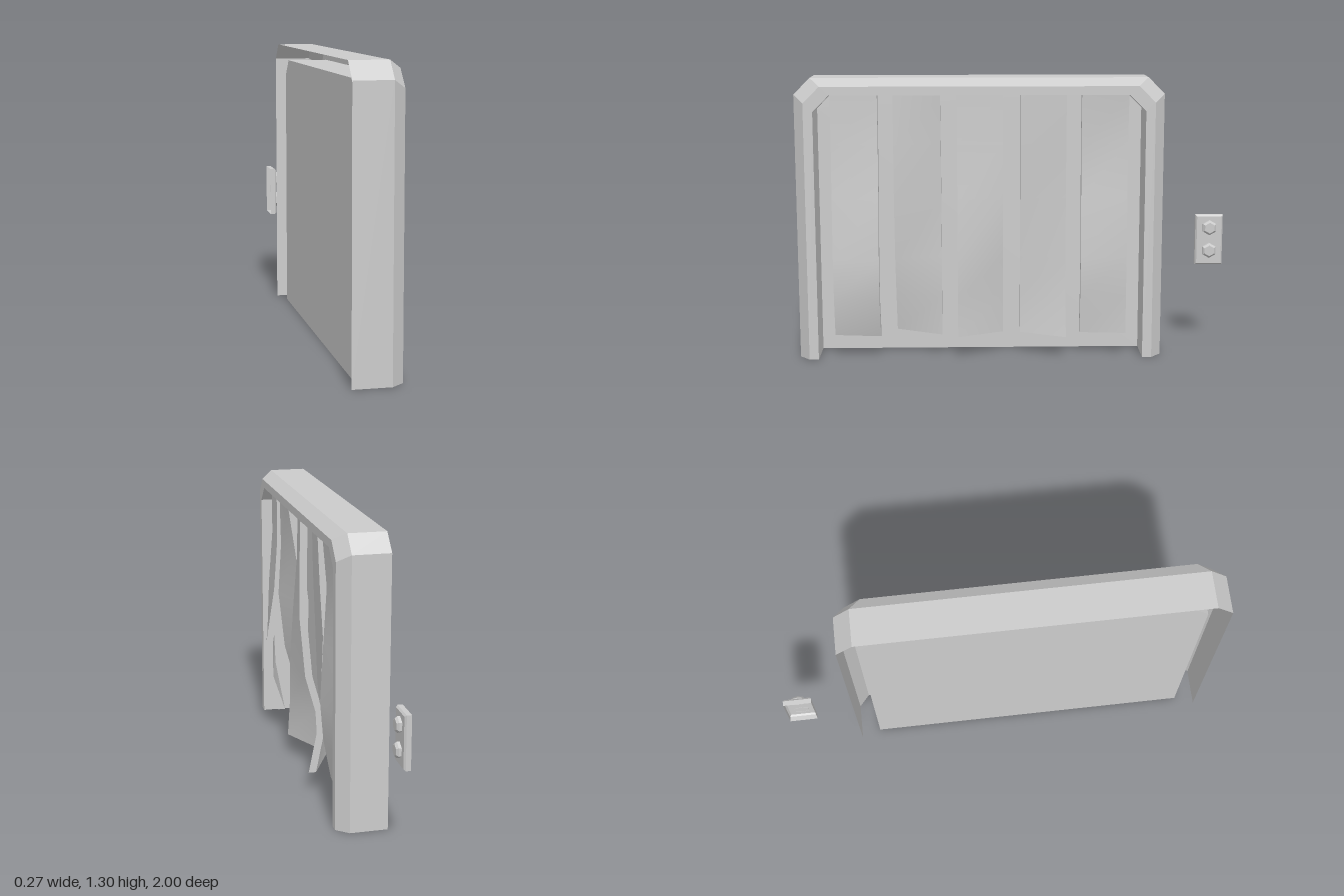
import * as THREE from 'three';

const solid = new THREE.MeshStandardMaterial({ color: 0xcccccc });
const open = new THREE.MeshStandardMaterial({ color: 0xcccccc, side: THREE.DoubleSide, flatShading: true });

// Flat-shaded skin between successive loops of [x, y, z] points
function loft(loops) {
  const pos = [];
  for (let i = 0; i < loops.length - 1; i++) {
    for (let j = 0; j < loops[i].length - 1; j++) {
      const a = loops[i][j], b = loops[i][j + 1], c = loops[i + 1][j + 1], d = loops[i + 1][j];
      pos.push(...a, ...b, ...c, ...a, ...c, ...d);
    }
  }
  const g = new THREE.BufferGeometry();
  g.setAttribute('position', new THREE.Float32BufferAttribute(pos, 3));
  g.computeVertexNormals();
  return g;
}

function add(group, name, geometry, material) {
  const mesh = new THREE.Mesh(geometry, material);
  mesh.name = name;
  group.add(mesh);
  return mesh;
}

// Door outline with cut corners, inset at the sides and the top: [z, y] pairs
function arch(side, top) {
  const mid = 0.155, half = 0.845 - side, h = 1.305 - top, cut = 0.075;
  return [
    [mid + half, 0], [mid + half, h - cut], [mid + half - cut, h],
    [mid - half + cut, h], [mid - half, h - cut], [mid - half, 0],
  ];
}
const archAt = (x, side, top) => arch(side, top).map(([z, y]) => [x, y, z]);

// Hanging strip: front-face x along its two long edges, from top to bottom
const rows = [1.23, 1.0, 0.75, 0.47, 0.29, 0.105];
function stripGeometry(zLeft, zRight, leftX, rightX) {
  const thick = 0.035;
  const g = new THREE.BoxGeometry(1, 1, 1, 1, rows.length - 1, 1);
  const p = g.attributes.position;
  for (let i = 0; i < p.count; i++) {
    const r = Math.round((0.5 - p.getY(i)) * (rows.length - 1));
    const left = p.getZ(i) > 0;
    const x = (left ? leftX : rightX)[r] - (p.getX(i) > 0 ? 0 : thick);
    p.setXYZ(i, x, rows[r], left ? zLeft : zRight);
  }
  g.computeVertexNormals();
  return g;
}

export function createModel() {
  const model = new THREE.Group();
  model.name = 'stripCurtainDoor';

  // Frame shell: outer wall, bevel, front rim, inner tunnel; open at back and bottom
  add(model, 'doorFrame', loft([
    archAt(-0.135, 0, 0),
    archAt(0.035, 0, 0),
    archAt(0.09, 0.047, 0.036),
    archAt(0.09, 0.09, 0.075),
    archAt(-0.1, 0.09, 0.075),
  ]), open);

  // Flat panel closing the tunnel
  const outline = new THREE.Shape(arch(0.09, 0.075).map(([z, y]) => new THREE.Vector2(-z, y)));
  const panel = add(model, 'backPanel', new THREE.ShapeGeometry(outline), open);
  panel.rotation.y = Math.PI / 2;
  panel.position.x = -0.1;

  // Five wavy curtain strips
  const strips = [
    [0.835, 0.62, [0.05, 0.05, 0.07, 0.082, 0.075, 0.045], [0.07, 0.07, 0.088, 0.132, 0.132, 0.072]],
    [0.55, 0.335, [0.07, 0.065, 0.08, 0.05, 0.0, -0.06], [0.075, 0.04, 0.01, 0.02, 0.045, 0.05]],
    [0.26, 0.05, [0.045, 0.05, 0.07, 0.088, 0.088, 0.1], [0.08, 0.085, 0.085, 0.06, 0.01, 0.0]],
    [-0.03, -0.24, [0.045, 0.04, 0.03, 0.02, 0.0, 0.01], [0.07, 0.06, 0.045, 0.055, 0.075, 0.112]],
    [-0.31, -0.525, [0.065, 0.045, 0.06, 0.075, 0.06, 0.025], [0.065, 0.04, 0.045, 0.055, 0.05, 0.045]],
  ];
  const curtain = new THREE.Group();
  curtain.name = 'curtain';
  model.add(curtain);
  strips.forEach((s, i) => add(curtain, 'strip' + (i + 1), stripGeometry(...s), solid));

  // Wall switch: hollow plate open at the back, with two hexagonal buttons
  const control = new THREE.Group();
  control.name = 'switchPlate';
  control.position.set(-0.135, 0.52, -0.935);
  model.add(control);
  const ring = (x, w, h) => [[x, -h, w], [x, h, w], [x, h, -w], [x, -h, -w], [x, -h, w]];
  add(control, 'plate', loft([
    ring(0, 0.065, 0.12), ring(0.022, 0.065, 0.12), ring(0.03, 0.058, 0.113), ring(0.03, 0, 0),
  ]), open);
  const profile = [[0.036, 0.028], [0.036, 0.042], [0.026, 0.052], [0, 0.052]];
  const hexRing = ([r, x]) => Array.from({ length: 7 }, (_, k) =>
    [x, r * Math.cos(k * Math.PI / 3), r * Math.sin(k * Math.PI / 3)]);
  for (const y of [0.06, -0.05]) {
    add(control, 'button', loft(profile.map(hexRing)), open).position.y = y;
  }
  return model;
}
